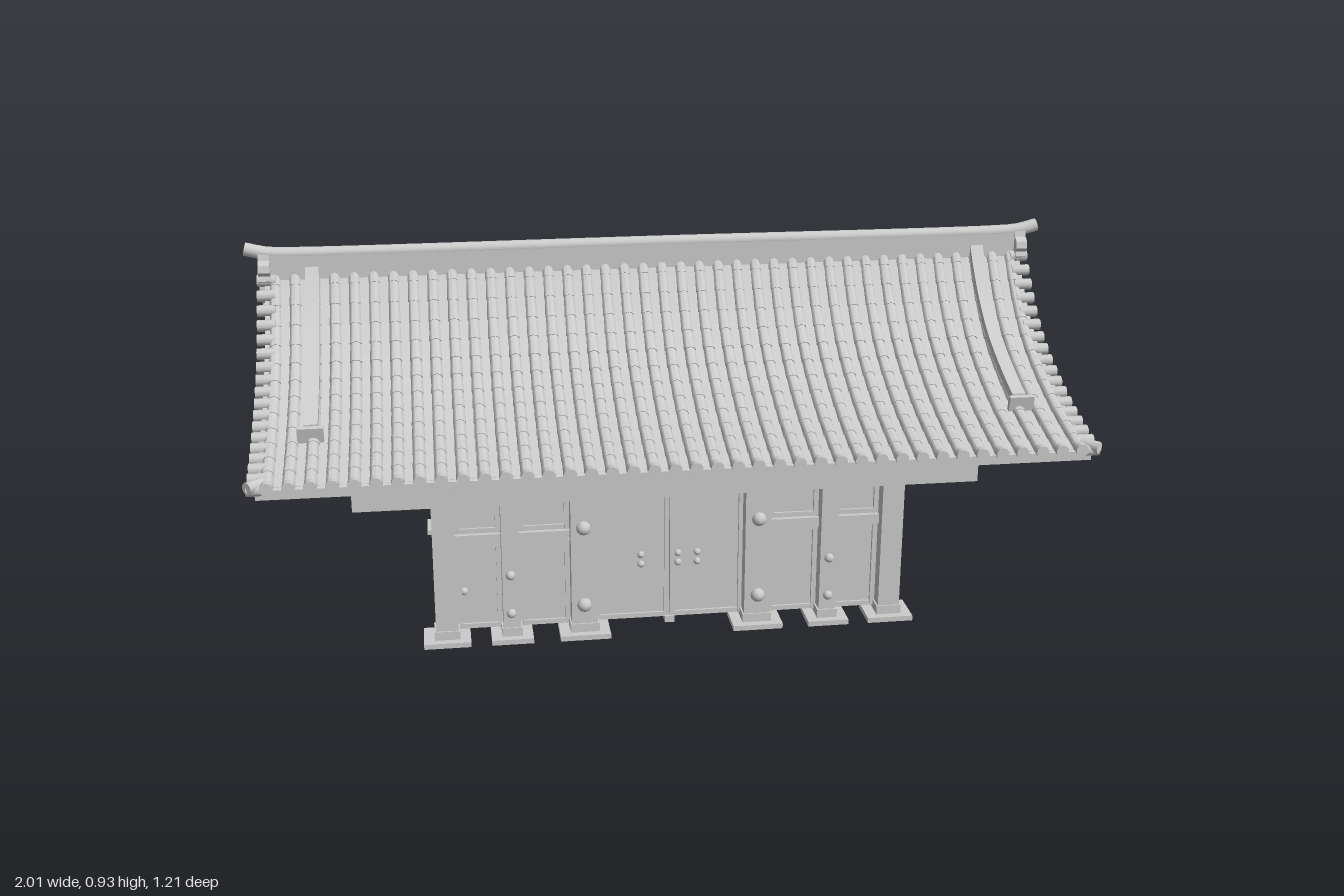
import * as THREE from 'three';
import { toCreasedNormals } from 'three/addons/utils/BufferGeometryUtils.js';

const mat = new THREE.MeshStandardMaterial({ color: 0xcccccc });

// Roof slope from ridge to eave, as (z, y)
const slope = new THREE.SplineCurve([
  [0, 0.872], [0.04, 0.815], [0.1, 0.745], [0.18, 0.677], [0.28, 0.622], [0.42, 0.567], [0.59, 0.523],
].map(([z, y]) => new THREE.Vector2(z, y)));

function add(parent, name, geometry, x = 0, y = 0, z = 0) {
  const mesh = new THREE.Mesh(geometry, mat);
  mesh.name = name;
  mesh.position.set(x, y, z);
  parent.add(mesh);
  return mesh;
}

// Box given by its limits on each axis
function box(parent, name, x0, x1, y0, y1, z0, z1) {
  return add(parent, name, new THREE.BoxGeometry(x1 - x0, y1 - y0, z1 - z0),
    (x0 + x1) / 2, (y0 + y1) / 2, (z0 + z1) / 2);
}

// Outline of [z, y] points extruded along x
function extrudeX(parent, name, points, x0, x1) {
  const shape = new THREE.Shape(points.map(([z, y]) => new THREE.Vector2(-z, y)));
  const g = new THREE.ExtrudeGeometry(shape, { depth: x1 - x0, bevelEnabled: false });
  g.rotateY(Math.PI / 2);
  return add(parent, name, toCreasedNormals(g, 0.5), x0);
}

// Points down the slope, shifted vertically by lift(t)
function slopeLine(lift, t0 = 0, t1 = 1, n = 24) {
  return Array.from({ length: n + 1 }, (_, i) => {
    const t = t0 + (t1 - t0) * i / n, p = slope.getPointAt(t);
    return [p.x, p.y + lift(t)];
  });
}
const mirrorZ = (pts) => [...pts].reverse().map(([z, y]) => [-z, y]);

// Curved band that follows both slopes over the ridge
function gableBand(parent, name, top, bottom, x0, x1) {
  const arch = (line) => [...mirrorZ(line), ...line.slice(1)];
  extrudeX(parent, name, [...arch(slopeLine(top)), ...arch(slopeLine(bottom)).reverse()], x0, x1);
}

// One row of overlapping half-round tiles down the slope
function tileRowGeometry(tiles = 13, sides = 6) {
  const pos = [], index = [];
  for (let k = 0; k < tiles; k++) {
    for (const [t, r] of [[k / tiles, 0.0145], [(k + 0.5) / tiles, 0.015], [(k + 1) / tiles, 0.016]]) {
      const p = slope.getPointAt(t), d = slope.getTangentAt(t);
      for (let s = 0; s <= sides; s++) {
        const a = Math.PI * s / sides, h = Math.sin(a) * r * 1.1 - 0.016;
        pos.push(Math.cos(a) * r, p.y + d.x * h, p.x - d.y * h);
      }
    }
  }
  const w = sides + 1;
  for (let i = 0; i < tiles * 3 - 1; i++) {
    for (let s = 0; s < sides; s++) {
      const a = i * w + s, b = a + w;
      index.push(a, a + 1, b, b, a + 1, b + 1);
    }
  }
  const g = new THREE.BufferGeometry();
  g.setAttribute('position', new THREE.Float32BufferAttribute(pos, 3));
  g.setIndex(index);
  return toCreasedNormals(g, 0.7);
}

// Everything on one roof slope; the other slope is the same, turned around
function roofSlope() {
  const g = new THREE.Group();
  g.name = 'roofSlope';
  const row = tileRowGeometry();
  const disc = new THREE.CylinderGeometry(0.015, 0.015, 0.02, 12).rotateX(Math.PI / 2);
  const rows = 40;
  for (let i = 0; i < rows; i++) {
    const x = -0.93 + 1.86 * i / (rows - 1);
    add(g, 'tileRow', row, x);
    add(g, 'eaveDisc', disc, x, 0.514, 0.588);
  }
  box(g, 'eaveBoard', -0.95, 0.95, 0.49, 0.512, 0.555, 0.58);
  box(g, 'eavePurlin', -0.91, 0.91, 0.487, 0.535, 0.452, 0.47);

  const roll = new THREE.CylinderGeometry(0.0145, 0.0145, 0.045, 10).rotateZ(Math.PI / 2);
  for (const s of [-1, 1]) {
    // Short cross tiles along the gable edge
    for (let i = 0; i < 18; i++) {
      const p = slope.getPointAt(0.04 + 0.95 * i / 17);
      add(g, 'vergeTile', roll, s * 0.951, p.y - 0.015, p.x);
    }
    const corner = add(g, 'cornerTile', roll, s * 0.955, 0.518, 0.58);
    corner.rotation.y = -s * Math.PI / 4;
    // Descending ridge with its end plate
    const a = slopeLine(() => 0.017, 0.03, 0.72), b = slopeLine(() => -0.02, 0.03, 0.72);
    extrudeX(g, 'descendingRidge', [...a, ...b.reverse()], s * 0.84 - 0.0165, s * 0.84 + 0.0165);
    const plate = box(g, 'descendingRidgeEnd', s * 0.84 - 0.03, s * 0.84 + 0.03, 0.555, 0.592, 0.411, 0.423);
    plate.rotation.x = 0.2;
  }
  return g;
}

function buildRoof(root) {
  const roof = new THREE.Group();
  roof.name = 'roof';
  root.add(roof);
  const back = roofSlope();
  back.rotation.y = Math.PI;
  roof.add(roofSlope(), back);
  gableBand(roof, 'roofDeck', () => -0.014, () => -0.036, -0.955, 0.955);
  box(roof, 'ceiling', -0.91, 0.91, 0.49, 0.515, -0.435, 0.435);

  // Main ridge, with a round cap that curves up at both ends
  box(roof, 'ridgeWall', -0.95, 0.95, 0.83, 0.898, -0.016, 0.016);
  const capPath = new THREE.CatmullRomCurve3(
    [[-1, 0.911], [-0.95, 0.899], [-0.9, 0.896], [0, 0.896], [0.9, 0.896], [0.95, 0.899], [1, 0.911]]
      .map(([x, y]) => new THREE.Vector3(x, y, 0)), false, 'centripetal');
  add(roof, 'ridgeCap', new THREE.TubeGeometry(capPath, 80, 0.0165, 14));

  const endTile = [[0, 0.9], [0.016, 0.9], [0.02, 0.885], [0.034, 0.875], [0.038, 0.858], [0.03, 0.848], [0.034, 0.836], [0.02, 0.825], [0, 0.84]];
  const pendant = [[0, 0.785], [0.03, 0.75], [0.06, 0.715], [0.11, 0.685], [0.1, 0.672], [0.07, 0.68], [0.055, 0.695],
    [0.038, 0.69], [0.03, 0.712], [0.015, 0.7], [0.012, 0.682], [0, 0.672]];
  const both = (p) => [...p, ...mirrorZ(p).slice(1, -1)];
  for (const s of [-1, 1]) {
    const span = (a, b) => (s > 0 ? [a, b] : [-b, -a]);
    const wall = slopeLine(() => -0.03, 0, 0.8);
    extrudeX(roof, 'gableWall', [[-0.46, 0.515], ...mirrorZ(wall), ...wall.slice(1), [0.46, 0.515]], ...span(0.885, 0.905));
    gableBand(roof, 'bargeBoard', () => -0.03, (t) => -0.08 + 0.045 * t, ...span(0.905, 0.94));
    gableBand(roof, 'bargeTrim', () => -0.028, (t) => -0.055 + 0.022 * t, ...span(0.935, 0.948));
    extrudeX(roof, 'gablePendant', both(pendant), ...span(0.9, 0.925));
    extrudeX(roof, 'ridgeEndTile', both(endTile), ...span(0.94, 0.968));
    box(roof, 'gableTieBeam', ...span(0.9, 0.915), 0.52, 0.553, -0.41, 0.41);
    const end = add(roof, 'ridgeCapEnd', new THREE.CircleGeometry(0.0165, 14), s * 0.9995, 0.911, 0);
    end.rotation.y = s * Math.PI / 2;
  }
}

function buildFrame(root) {
  const frame = new THREE.Group();
  frame.name = 'frame';
  root.add(frame);
  for (let i = -4; i <= 4; i++) box(frame, 'rafter', i * 0.171 - 0.011, i * 0.171 + 0.011, 0.46, 0.49, -0.525, 0.525);
  for (const z of [-0.345, 0, 0.35]) box(frame, 'upperBeam', -0.645, 0.645, 0.41, 0.462, z - 0.018, z + 0.018);
  box(frame, 'frontLintel', -0.76, 0.76, 0.358, 0.41, 0.328, 0.372);
  for (const s of [-1, 1]) {
    for (const x of [s * 0.55, s * 0.213]) {
      box(frame, 'crossBeam', x - 0.018, x + 0.018, 0.358, 0.41, -0.352, 0.366);
      box(frame, 'backPost', x - 0.02, x + 0.02, 0.01, 0.412, -0.365, -0.326);
      box(frame, 'backFoot', x - 0.043, x + 0.043, 0, 0.013, -0.39, -0.305);
    }
    for (const [x, w] of [[0.55, 0.027], [0.392, 0.021], [0.214, 0.032]]) {
      const c = s * x;
      box(frame, 'frontPost', c - w, c + w, 0.01, x > 0.4 ? 0.46 : 0.41, 0.325, 0.372);
      box(frame, 'postSleeve', c - w - 0.004, c + w + 0.004, 0.012, 0.035, 0.321, 0.376);
      box(frame, 'frontFoot', c - w - 0.03, c + w + 0.03, 0, 0.013, 0.302, 0.395);
    }
  }
}

function buildDoors(root) {
  const doors = new THREE.Group();
  doors.name = 'doors';
  root.add(doors);
  const boss = (x, y, r, z) => {
    const m = add(doors, 'boss', new THREE.SphereGeometry(r, 12, 6, 0, Math.PI * 2, 0, Math.PI / 2), x, y, z);
    m.rotation.x = Math.PI / 2;
  };
  // Panel with a raised frame on both faces
  const panel = (name, x0, x1, y0, y1) => {
    const f = 0.012;
    box(doors, name, x0, x1, y0, y1, 0.315, 0.327);
    for (const [a, b] of [[x0, x0 + f], [x1 - f, x1]]) box(doors, name + 'Stile', a, b, y0, y1, 0.307, 0.335);
    for (const [a, b] of [[y0, y0 + f], [y1 - f, y1]]) box(doors, name + 'Rail', x0 + f, x1 - f, a, b, 0.309, 0.333);
  };
  box(doors, 'doorStop', -0.012, 0.012, 0.008, 0.025, 0.305, 0.34);
  for (const s of [-1, 1]) {
    const side = (a, b) => (s > 0 ? [a, b] : [-b, -a]);
    panel('mainDoor', ...side(0.001, 0.184), 0.022, 0.395);
    for (const [a, b] of [[0.246, 0.371], [0.413, 0.523]]) {
      panel('sideDoor', ...side(a, b), 0.02, 0.247);
      box(doors, 'midRail', ...side(a, b), 0.247, 0.272, 0.315, 0.345);
      panel('upperPanel', ...side(a, b), 0.272, 0.402);
    }
    for (const y of [0.085, 0.288]) {
      boss(s * 0.215, y, 0.018, 0.372);
      box(doors, 'hinge', ...side(0.17, 0.195), y - 0.012, y + 0.012, 0.302, 0.312);
    }
    for (const y of [0.073, 0.174]) boss(s * 0.393, y, 0.012, 0.372);
    for (const y of [0.165, 0.19]) boss(s * 0.07, y, 0.009, 0.327);
  }
  for (const y of [0.165, 0.19]) boss(0.022, y, 0.009, 0.327);
  boss(-0.505, 0.118, 0.01, 0.327);
}

export function createModel() {
  const root = new THREE.Group();
  root.name = 'roofedGate';
  buildRoof(root);
  buildFrame(root);
  buildDoors(root);
  return root;
}
